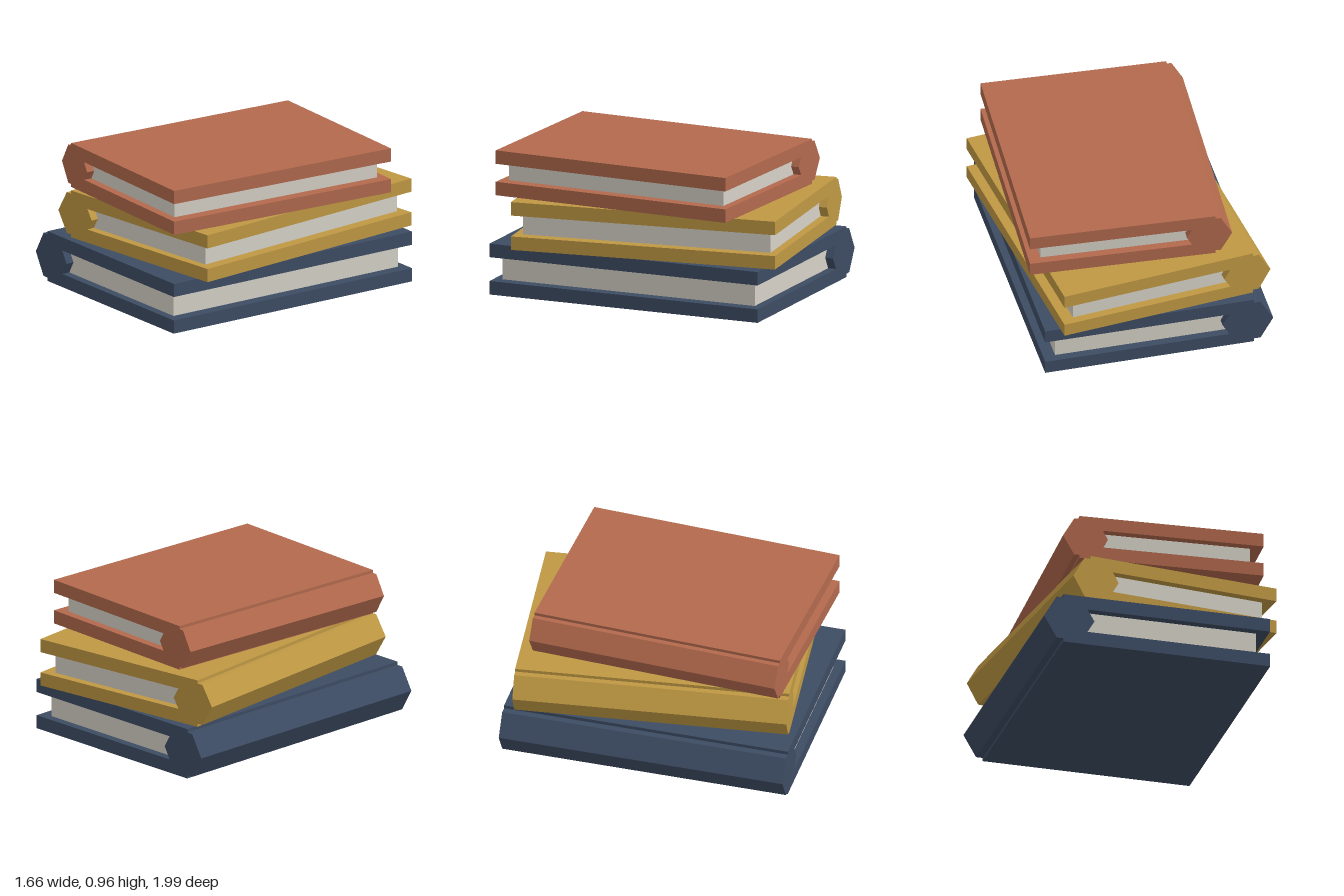
import * as THREE from 'three';

const BOARD = 0.09;      // cover board thickness
const INSET_SIDE = 0.08; // pages set back from the opening edge
const INSET_END = 0.056; // pages set back at head and tail

function mat(name, color) {
  const m = new THREE.MeshStandardMaterial({ color });
  m.name = name;
  return m;
}

function addMesh(group, name, geometry, material, x, y) {
  const mesh = new THREE.Mesh(geometry, material);
  mesh.name = name;
  mesh.position.set(x, y, 0);
  group.add(mesh);
}

// A closed book lying flat, spine along its -x side
function makeBook({ name, width, depth, height, cover, paper }) {
  const book = new THREE.Group();
  book.name = name;

  // Cover boards
  const board = new THREE.BoxGeometry(width, BOARD, depth);
  addMesh(book, 'lowerCover', board, cover, 0, BOARD / 2);
  addMesh(book, 'upperCover', board, cover, 0, height - BOARD / 2);

  // Six-sided spine with flat faces
  const spineX = -width / 2 + 0.04;
  const spine = new THREE.CylinderGeometry(height / 2, height / 2, depth, 6)
    .rotateY(Math.PI / 2).rotateX(Math.PI / 2).toNonIndexed();
  spine.computeVertexNormals();
  addMesh(book, 'spine', spine, cover, spineX, height / 2);

  // Page block, running from inside the spine
  const right = width / 2 - INSET_SIDE;
  const pages = new THREE.BoxGeometry(right - spineX, height - 2 * BOARD, depth - 2 * INSET_END);
  addMesh(book, 'pages', pages, paper, (right + spineX) / 2, height / 2);
  return book;
}

export function createModel() {
  const stack = new THREE.Group();
  stack.name = 'bookStack';
  const paper = mat('paper', 0xd6d2c8);

  const books = [
    { name: 'bottomBook', width: 1.4, depth: 1.917, height: 0.34, x: 0.045, z: 0.003, turn: -0.047, cover: mat('navy cover', 0x3d4c64) },
    { name: 'middleBook', width: 1.313, depth: 1.805, height: 0.32, x: 0.09, z: -0.055, turn: 0.07, cover: mat('ochre cover', 0xbf9843) },
    { name: 'topBook', width: 1.231, depth: 1.683, height: 0.3, x: 0.135, z: 0.065, turn: -0.098, cover: mat('rust cover', 0xb2694d) },
  ];

  let y = 0;
  for (const b of books) {
    const book = makeBook({ ...b, paper });
    book.position.set(b.x, y, b.z);
    book.rotation.y = b.turn;
    stack.add(book);
    y += b.height;
  }
  return stack;
}
